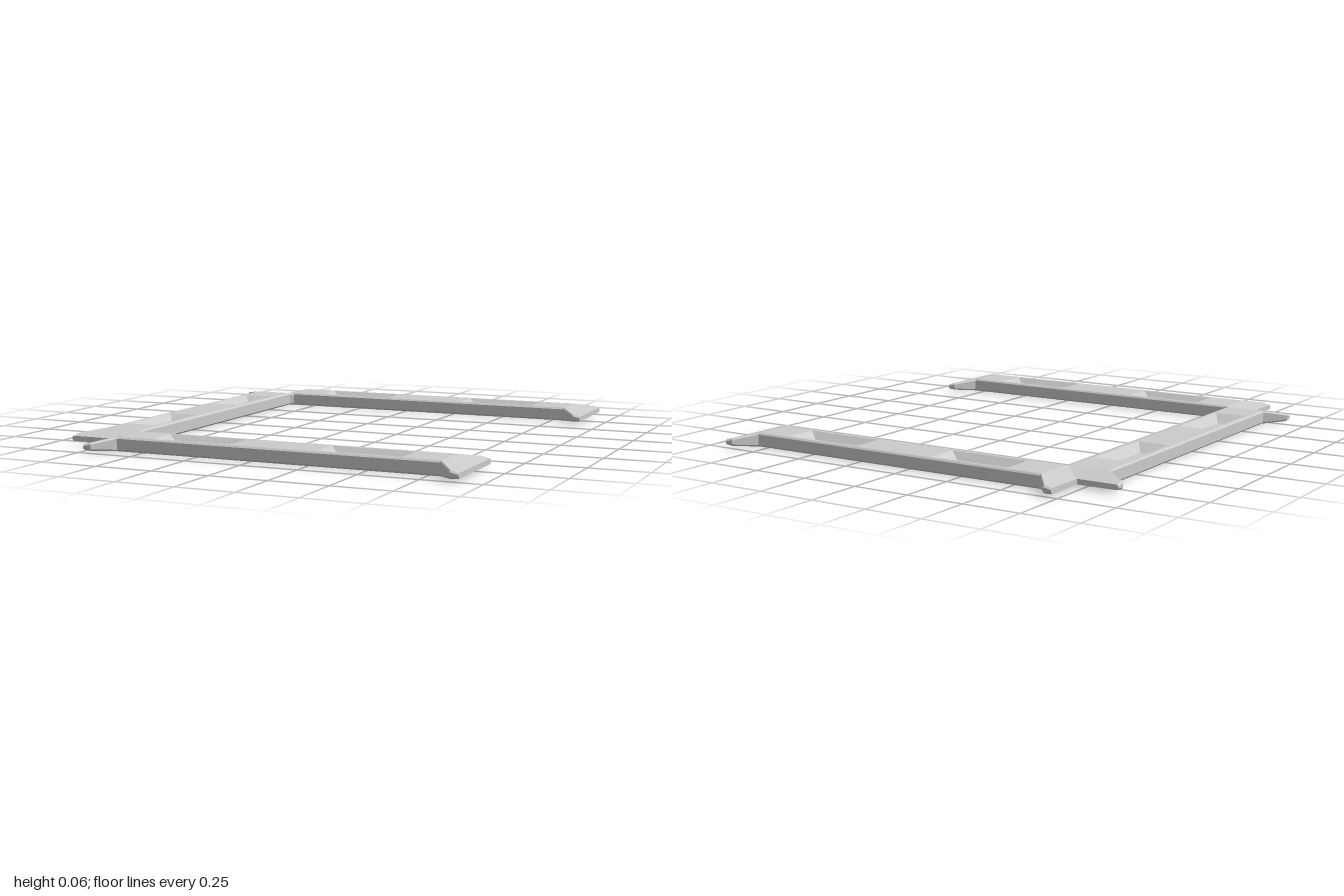
import * as THREE from 'three';

const material = new THREE.MeshStandardMaterial({ color: 0xcccccc, flatShading: true });

const HALF = 0.815, SHOULDER = 0.71, TOP = 0.06, BEVEL = 0.007;
const POCKET = { x: 0.37, halfL: 0.18, halfW: 0.07, inset: 0.05, insetW: 0.034, floor: 0.025 };

// Mesh from a flat list of quads, each four corners counter-clockwise from outside
function quadMesh(name, quads) {
  const pos = [];
  for (const [a, b, c, d] of quads) pos.push(...a, ...b, ...c, ...a, ...c, ...d);
  const geo = new THREE.BufferGeometry();
  geo.setAttribute('position', new THREE.Float32BufferAttribute(pos, 3));
  geo.computeVertexNormals();
  const mesh = new THREE.Mesh(geo, material);
  mesh.name = name;
  return mesh;
}

// Bevelled cross-section at x: half width w, from y0 to y1
function section(x, w, y0, y1) {
  const b = BEVEL;
  return [
    [x, y0, -w + b], [x, y0, w - b], [x, y0 + b, w], [x, y1 - b, w],
    [x, y1, w - b], [x, y1, -w + b], [x, y1 - b, -w], [x, y0 + b, -w],
  ];
}

// Bar body with flared, tapering ends; its top between the shoulders is left open
function barBody() {
  const flare = [[SHOULDER, 0.0935, 0, TOP], [0.78, 0.1825, 0.01, 0.043], [HALF, 0.1825, 0.013, 0.035]];
  const rings = [
    ...flare.map(([x, ...r]) => section(-x, ...r)).reverse(),
    ...flare.map((r) => section(...r)),
  ];
  const quads = [];
  for (let i = 0; i < rings.length - 1; i++) {
    for (let j = 0; j < 8; j++) {
      if (i === 2 && j === 4) continue;
      const k = (j + 1) % 8, p = rings[i], q = rings[i + 1];
      quads.push([p[j], q[j], q[k], p[k]]);
    }
  }
  // end faces
  for (const [a, b, c, d] of [[0, 1, 2, 7], [7, 2, 3, 6], [6, 3, 4, 5]]) {
    const s = rings[0], e = rings[rings.length - 1];
    quads.push([s[a], s[b], s[c], s[d]], [e[d], e[c], e[b], e[a]]);
  }
  return quadMesh('barBody', quads);
}

function rect(target, cx, hx, hy) {
  target.moveTo(cx - hx, -hy);
  target.lineTo(cx + hx, -hy);
  target.lineTo(cx + hx, hy);
  target.lineTo(cx - hx, hy);
  target.closePath();
  return target;
}

// Top plate with two openings for the pockets
function barTop() {
  const shape = rect(new THREE.Shape(), 0, SHOULDER, 0.0935 - BEVEL);
  for (const s of [-1, 1]) {
    shape.holes.push(rect(new THREE.Path(), s * POCKET.x, POCKET.halfL, POCKET.halfW));
  }
  const geo = new THREE.ShapeGeometry(shape).rotateX(-Math.PI / 2).translate(0, TOP, 0);
  const mesh = new THREE.Mesh(geo, material);
  mesh.name = 'barTop';
  return mesh;
}

// Sunken pocket with four sloping walls and a flat floor
function pocket(cx) {
  const ring = (hx, hz, y) => [[cx - hx, y, hz], [cx + hx, y, hz], [cx + hx, y, -hz], [cx - hx, y, -hz]];
  const rim = ring(POCKET.halfL, POCKET.halfW, TOP);
  const low = ring(POCKET.halfL - POCKET.inset, POCKET.halfW - POCKET.insetW, POCKET.floor);
  const quads = [low];
  for (let i = 0; i < 4; i++) {
    const k = (i + 1) % 4;
    quads.push([rim[i], rim[k], low[k], low[i]]);
  }
  return quadMesh('pocket', quads);
}

function bar(name, x, z, turn = 0) {
  const group = new THREE.Group();
  group.name = name;
  group.add(barBody(), barTop(), pocket(-POCKET.x), pocket(POCKET.x));
  group.position.set(x, 0, z);
  group.rotation.y = turn;
  return group;
}

// Three crossing bars form an open-sided square frame
export function createModel() {
  const model = new THREE.Group();
  model.name = 'openFrame';
  model.add(
    bar('frontBar', 0.09, 0.8175),
    bar('backBar', 0.09, -0.8175),
    bar('sideBar', -0.7225, 0, Math.PI / 2),
  );
  return model;
}
